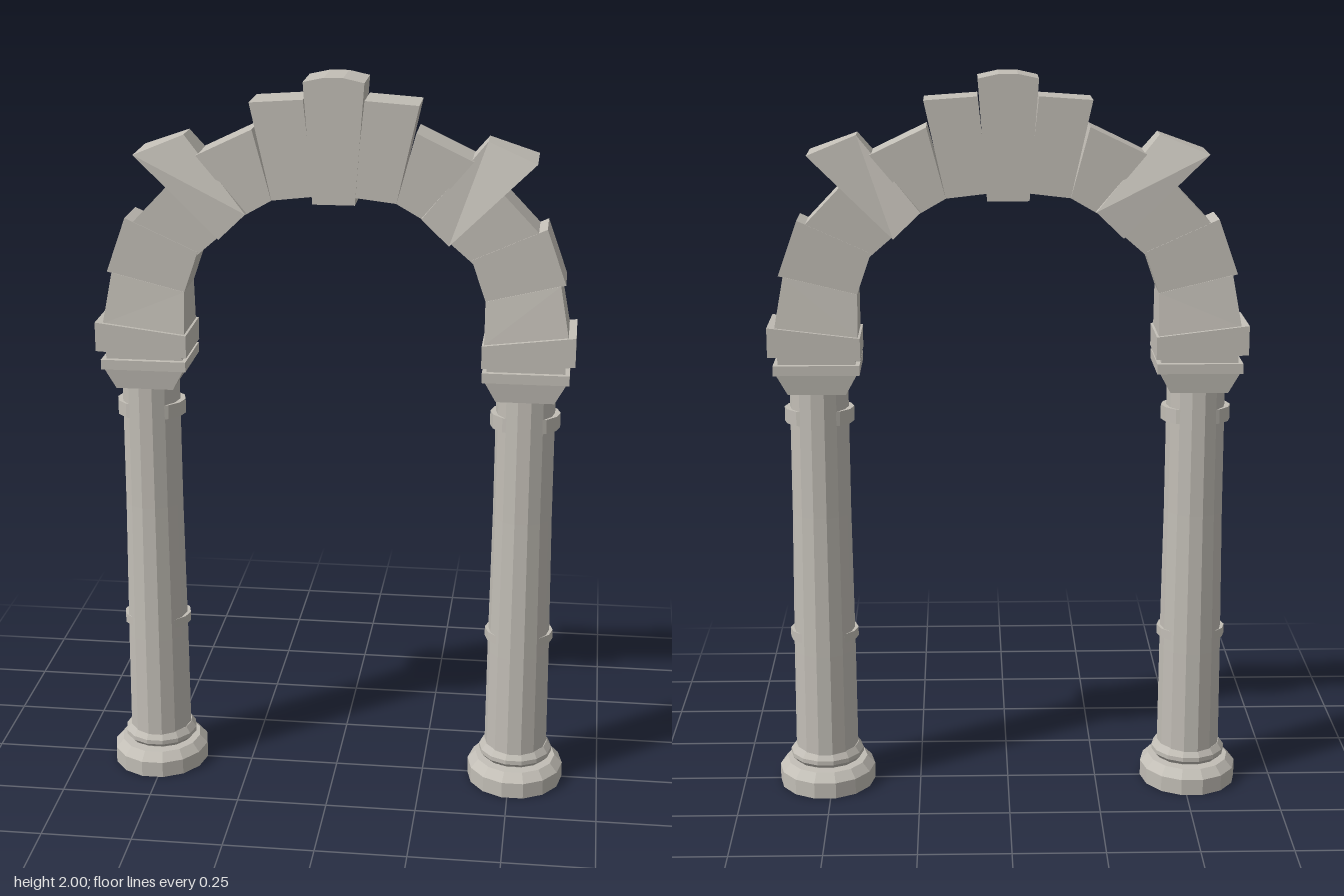
import * as THREE from 'three';

const stone = new THREE.MeshStandardMaterial({ color: 0xc2beb6, flatShading: true });
const COLUMN_X = 0.515;

// Block with corners [x, y, halfDepth], counter-clockwise seen from the front
function block(name, corners, mirror = false) {
  const c = mirror ? corners.map(([x, y, d]) => [-x, y, d]).reverse() : corners;
  const n = c.length;
  const pos = [];
  const put = (i, side) => pos.push(c[i][0], c[i][1], side * c[i][2]);
  for (let i = 1; i < n - 1; i++) {
    put(0, 1); put(i, 1); put(i + 1, 1);
    put(0, -1); put(i + 1, -1); put(i, -1);
  }
  for (let i = 0; i < n; i++) {
    const j = (i + 1) % n;
    put(i, 1); put(i, -1); put(j, -1);
    put(i, 1); put(j, -1); put(j, 1);
  }
  const g = new THREE.BufferGeometry();
  g.setAttribute('position', new THREE.Float32BufferAttribute(pos, 3));
  g.computeVertexNormals();
  const mesh = new THREE.Mesh(g, stone);
  mesh.name = name;
  return mesh;
}

// Turned part from [radius, height] points, with its own depth scale
function turned(name, profile, depthScale) {
  const pts = profile.map(([r, y]) => new THREE.Vector2(r, y));
  const mesh = new THREE.Mesh(new THREE.LatheGeometry(pts, 14, Math.PI / 2), stone);
  mesh.scale.z = depthScale;
  mesh.name = name;
  return mesh;
}

// Rectangular slab that may flare: half sizes at bottom and top
function slab(name, y0, y1, x0, x1, z0, z1) {
  return block(name, [[-x0, y0, z0], [x0, y0, z0], [x1, y1, z1], [-x1, y1, z1]]);
}

function column(name) {
  const g = new THREE.Group();
  g.name = name;
  g.add(
    turned('base', [[0, 0], [0.135, 0], [0.135, 0.045], [0.113, 0.068], [0, 0.072]], 1.1),
    turned('baseRing', [[0.09, 0.068], [0.103, 0.082], [0.103, 0.094], [0.09, 0.112], [0, 0.114]], 1.03),
    turned('shaft', [[0.088, 0.07], [0.086, 0.4], [0.081, 0.8], [0.08, 1.155], [0, 1.155]], 1.09),
  );
  // Two bands around the shaft
  for (const [y, h] of [[0.432, 0.026], [1.058, 0.04]]) {
    g.add(turned('band', [[0, y], [0.095, y], [0.095, y + h], [0, y + h]], 0.87));
  }
  // Square capital
  g.add(
    slab('capital', 1.15, 1.205, 0.078, 0.108, 0.088, 0.095),
    slab('abacus', 1.205, 1.232, 0.116, 0.116, 0.1, 0.1),
    slab('neck', 1.23, 1.262, 0.104, 0.104, 0.085, 0.085),
  );
  return g;
}

// Arch stones of the -x half, from the impost upwards
const STONES = [
  ['impost', [[-0.645, 1.255, 0.097], [-0.397, 1.243, 0.097], [-0.397, 1.305, 0.097], [-0.645, 1.335, 0.097]]],
  ['springer', [[-0.625, 1.33, 0.086], [-0.403, 1.305, 0.086], [-0.403, 1.42, 0.07], [-0.6, 1.468, 0.07]]],
  ['lowerStone', [[-0.613, 1.47, 0.068], [-0.403, 1.42, 0.068], [-0.365, 1.53, 0.068], [-0.56, 1.618, 0.068]]],
  ['haunchStone', [[-0.545, 1.6, 0.066], [-0.38, 1.51, 0.066], [-0.305, 1.575, 0.066], [-0.445, 1.705, 0.066]]],
  ['projectingStone', [[-0.53, 1.79, 0.08], [-0.305, 1.57, 0.086], [-0.232, 1.64, 0.086], [-0.4, 1.84, 0.042]]],
  ['upperStone', [[-0.365, 1.79, 0.068], [-0.235, 1.635, 0.068], [-0.165, 1.675, 0.068], [-0.215, 1.862, 0.068]]],
  ['shoulderStone', [[-0.222, 1.932, 0.066], [-0.165, 1.675, 0.066], [-0.053, 1.688, 0.066], [-0.08, 1.942, 0.066]]],
];

export function createModel() {
  const model = new THREE.Group();
  model.name = 'stoneArch';

  for (const [side, sign] of [['right', -1], ['left', 1]]) {
    const col = column(side + 'Column');
    col.position.x = sign * COLUMN_X;
    const half = new THREE.Group();
    half.name = side + 'ArchHalf';
    for (const [name, corners] of STONES) half.add(block(name, corners, sign > 0));
    model.add(col, half);
  }

  // Keystone with a slightly crowned top
  model.add(block('keystone', [
    [-0.056, 1.668, 0.069], [0.056, 1.668, 0.069],
    [0.08, 1.988, 0.069], [0.025, 2, 0.069], [-0.025, 2, 0.069], [-0.08, 1.988, 0.069],
  ]));
  return model;
}
